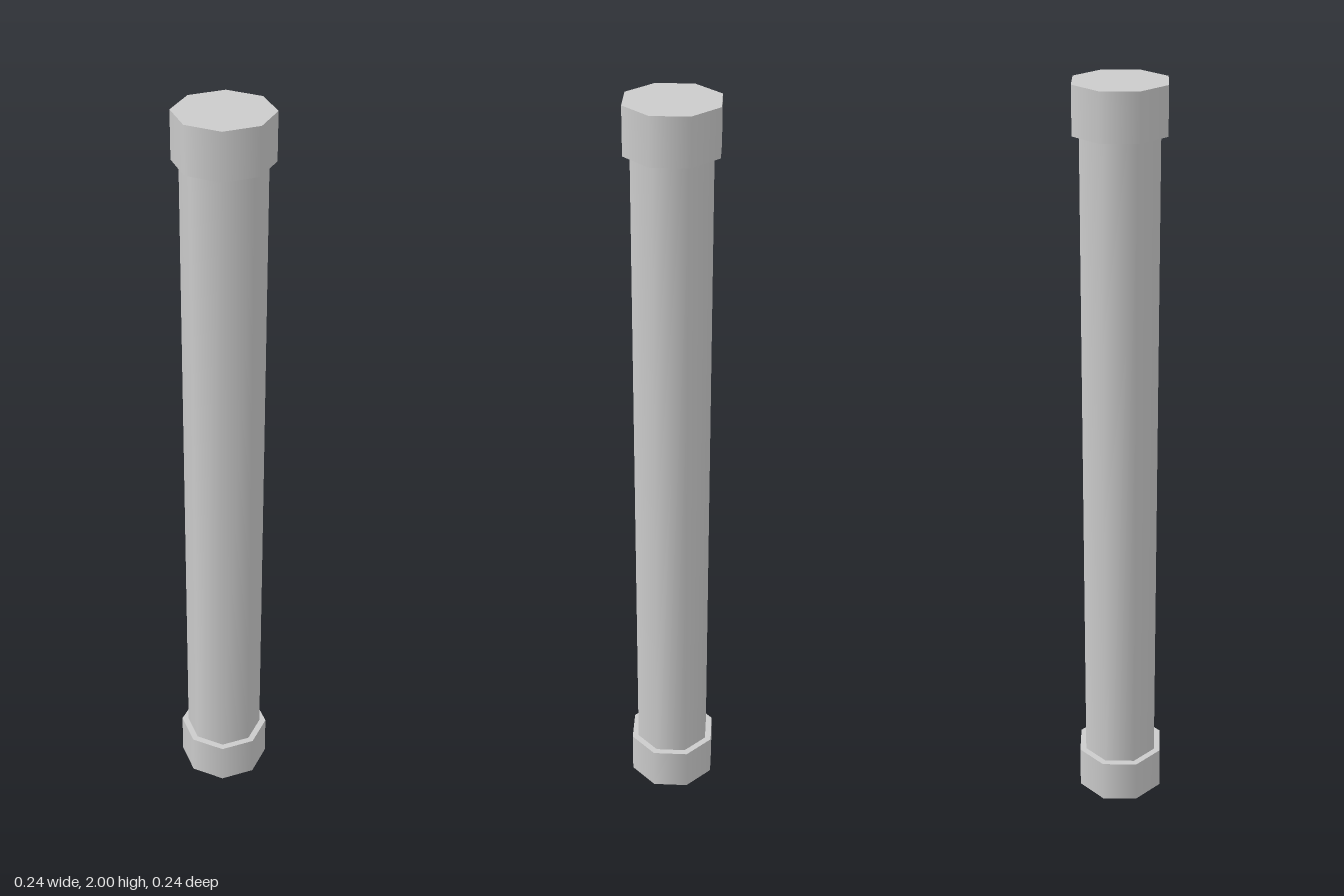
import * as THREE from 'three';

const SIDES = 8;
const HEIGHT = 2;
const CAP_HEIGHT = 0.12;
const CAP_RADIUS = 0.122;
const SHAFT_RADIUS = 0.104;

export function createModel() {
  const group = new THREE.Group();
  group.name = 'pipe';
  const material = new THREE.MeshStandardMaterial({ color: 0xcccccc });

  // Octagonal, smooth-shaded cylinder centred at height y
  function addCylinder(name, radius, height, y, open = false) {
    const geometry = new THREE.CylinderGeometry(radius, radius, height, SIDES, 1, open);
    const mesh = new THREE.Mesh(geometry, material);
    mesh.name = name;
    mesh.position.y = y;
    group.add(mesh);
  }

  // Long shaft running between the two collars
  addCylinder('shaft', SHAFT_RADIUS, HEIGHT - 2 * CAP_HEIGHT, HEIGHT / 2, true);

  // Wider collars closing each end
  addCylinder('bottomCollar', CAP_RADIUS, CAP_HEIGHT, CAP_HEIGHT / 2);
  addCylinder('topCollar', CAP_RADIUS, CAP_HEIGHT, HEIGHT - CAP_HEIGHT / 2);

  return group;
}
